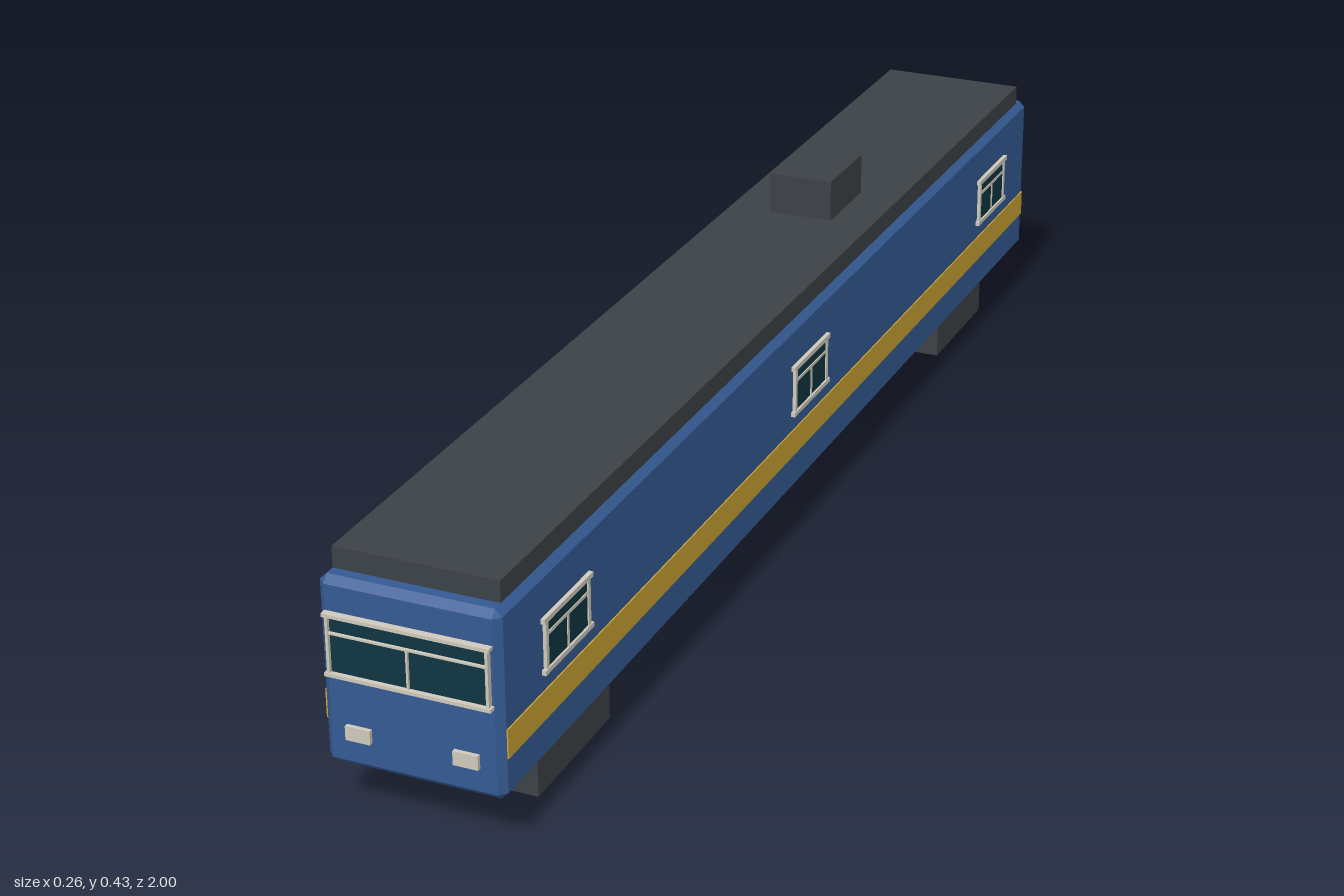
import * as THREE from 'three';
import { ConvexGeometry } from 'three/addons/geometries/ConvexGeometry.js';

const paint = (name, color) => {
  const m = new THREE.MeshStandardMaterial({ color });
  m.name = name;
  return m;
};

// Box with every edge and corner chamfered
function chamferedBox(w, h, d, c) {
  const points = [];
  for (const sx of [-1, 1]) for (const sy of [-1, 1]) for (const sz of [-1, 1]) {
    const x = w / 2, y = h / 2, z = d / 2;
    points.push(
      new THREE.Vector3(sx * x, sy * (y - c), sz * (z - c)),
      new THREE.Vector3(sx * (x - c), sy * y, sz * (z - c)),
      new THREE.Vector3(sx * (x - c), sy * (y - c), sz * z)
    );
  }
  return new ConvexGeometry(points);
}

export function createModel() {
  const blue = paint('body blue', 0x345a93);
  const gold = paint('stripe gold', 0xc9a233);
  const dark = paint('dark grey', 0x3c4146);
  const cream = paint('trim cream', 0xcfc9bb);
  const glass = paint('window glass', 0x0f3541);

  const model = new THREE.Group();
  model.name = 'railcar';

  const box = (parent, name, mat, w, h, d, x, y, z) => {
    const mesh = new THREE.Mesh(new THREE.BoxGeometry(w, h, d), mat);
    mesh.name = name;
    mesh.position.set(x, y, z);
    parent.add(mesh);
    return mesh;
  };

  // Framed window facing +z, centred on its own origin, back on z = 0
  function makeWindow(name, w, h, bar, jamb, depth) {
    const g = new THREE.Group();
    g.name = name;
    const transomY = h * 0.18;
    box(g, 'glass', glass, w - jamb * 2, h - bar, 0.003, 0, 0, 0.0015);
    for (const s of [-1, 1]) {
      box(g, s > 0 ? 'topRail' : 'sill', cream, w, bar, depth, 0, s * (h - bar) / 2, depth / 2);
      box(g, 'jamb', cream, jamb, h - bar * 2, depth * 0.8, s * (w / 2 - jamb * 1.3), 0, depth * 0.4);
    }
    box(g, 'transom', cream, w - jamb * 3, jamb * 0.7, depth * 0.7, 0, transomY, depth * 0.35);
    const mullionH = transomY + h / 2 - bar;
    box(g, 'mullion', cream, jamb * 0.7, mullionH, depth * 0.7, 0, transomY - mullionH / 2, depth * 0.35);
    model.add(g);
    return g;
  }

  // Body shell
  const body = new THREE.Mesh(chamferedBox(0.25, 0.265, 1.99, 0.01), blue);
  body.name = 'body';
  body.position.set(0, 0.2075, -0.005);
  model.add(body);

  // Roof slab, roof unit and bogies
  box(model, 'roof', dark, 0.23, 0.03, 1.94, 0, 0.355, -0.005);
  box(model, 'roofUnit', dark, 0.1, 0.063, 0.13, 0, 0.4015, -0.337);
  for (const z of [0.746, -0.75])
    box(model, z > 0 ? 'frontBogie' : 'rearBogie', dark, 0.2, 0.075, 0.213, 0, 0.0375, z);

  // Side stripes and windows
  for (const s of [-1, 1]) {
    const side = s > 0 ? 'left' : 'right';
    box(model, side + 'Stripe', gold, 0.004, 0.041, 1.97, s * 0.125, 0.1545, -0.005);
    for (const z of [0.813, -0.002, -0.817]) {
      const win = makeWindow(side + 'Window', 0.138, 0.079, 0.007, 0.007, 0.006);
      win.position.set(s * 0.125, 0.2385, z);
      win.rotation.y = s * Math.PI / 2;
    }
  }

  // Windscreen and headlights
  makeWindow('windscreen', 0.23, 0.088, 0.005, 0.004, 0.01).position.set(0, 0.25, 0.99);
  for (const s of [-1, 1])
    box(model, s > 0 ? 'leftHeadlight' : 'rightHeadlight', cream, 0.035, 0.02, 0.006, s * 0.075, 0.128, 0.993);

  return model;
}
